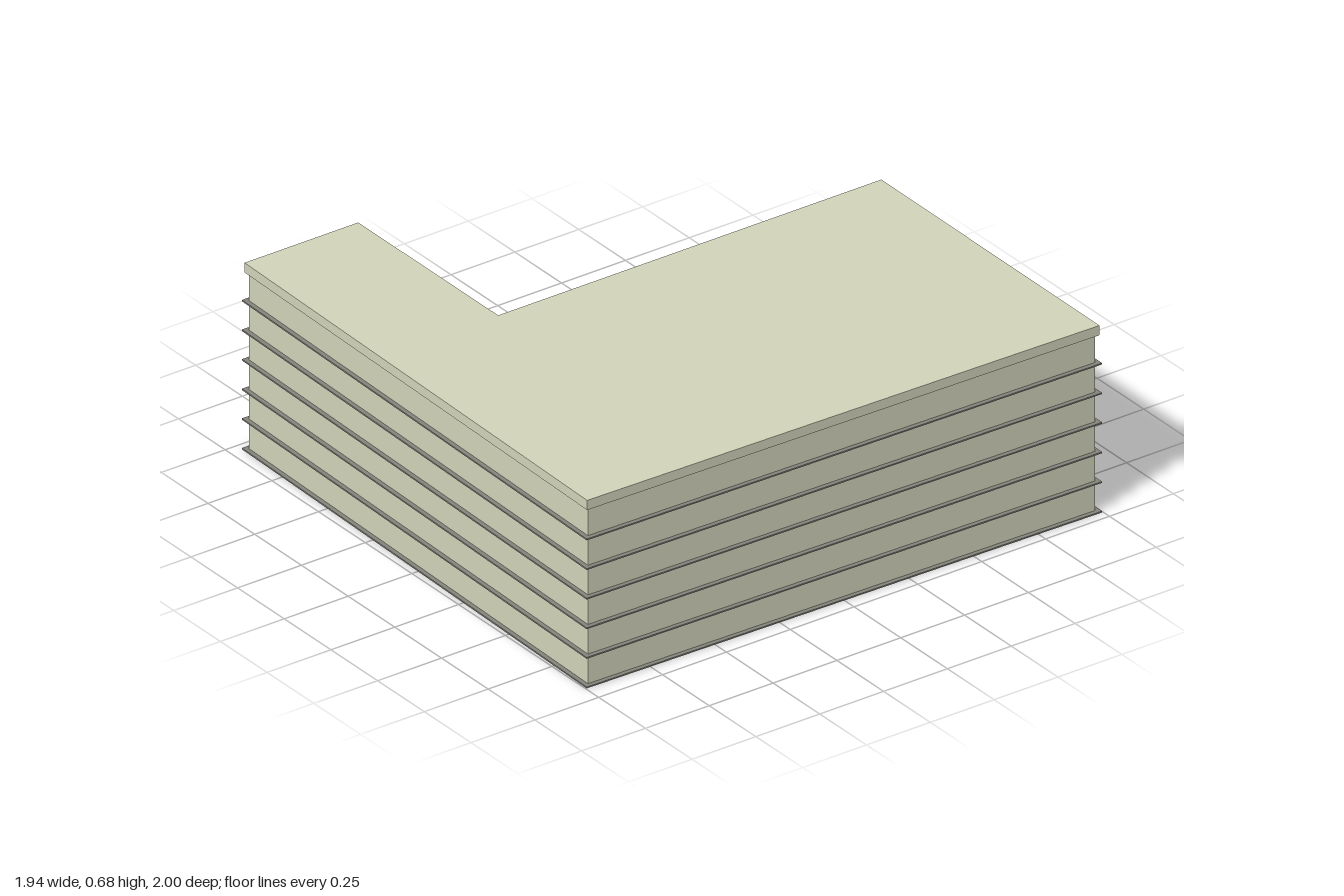
import * as THREE from 'three';

const mat = (color) => new THREE.MeshStandardMaterial({ color });
const wallMat = mat(0xd2d4ba);
const ledgeMat = mat(0x85857c);
const frameMat = mat(0xc4c6b4);
const glassMat = mat(0x0808a8);
const tealMat = mat(0x14c4b4);

const EAVES = 0.64;
const FLOOR = 0.107;
const THICK = 0.008;

// wall footprint as [x, z] corners, outward side is on the (dz, -dx) hand
const PLAN = [
  [-0.205, -0.985], [0.95, -0.98], [0.915, 0.98],
  [-0.955, 0.94], [-0.955, 0.515], [-0.205, 0.515],
].map(([x, z]) => new THREE.Vector2(x, z));

// mitred outward offset of the footprint
function offsetPlan(d) {
  const n = PLAN.length;
  return PLAN.map((p, i) => {
    const e0 = p.clone().sub(PLAN[(i + n - 1) % n]).normalize();
    const e1 = PLAN[(i + 1) % n].clone().sub(p).normalize();
    const n0 = new THREE.Vector2(e0.y, -e0.x);
    const n1 = new THREE.Vector2(e1.y, -e1.x);
    return n0.clone().add(n1).multiplyScalar(d / (1 + n0.dot(n1))).add(p);
  });
}

// horizontal slab or ring whose upper face lies at height top
function slab(name, outer, inner, top, depth, material) {
  const shape = new THREE.Shape(offsetPlan(outer));
  if (inner !== null) shape.holes.push(new THREE.Path(offsetPlan(inner)));
  const geo = new THREE.ExtrudeGeometry(shape, { depth, bevelEnabled: false });
  geo.rotateX(Math.PI / 2);
  const mesh = new THREE.Mesh(geo, material);
  mesh.name = name;
  mesh.position.y = top;
  return mesh;
}

function box(parent, name, w, h, d, x, y, z, material) {
  const mesh = new THREE.Mesh(new THREE.BoxGeometry(w, h, d), material);
  mesh.name = name;
  mesh.position.set(x, y, z);
  parent.add(mesh);
}

// rectangular casing around an opening
function casing(parent, w, h, x, y, bar) {
  for (const s of [-1, 1]) {
    box(parent, 'frameSide', bar, h, 0.012, x + s * (w - bar) / 2, y, -0.003, frameMat);
    box(parent, 'frameRail', w, bar, 0.012, x, y + s * (h - bar) / 2, -0.003, frameMat);
  }
}

function addWindow(wall, o) {
  const g = new THREE.Group();
  g.name = 'window';
  casing(g, o.w, o.h, o.x, o.y, 0.005);
  box(g, 'mullion', 0.005, o.h, 0.01, o.x, o.y, -0.004, frameMat);
  box(g, 'transom', o.w, 0.005, 0.01, o.x, o.y - o.h * 0.2, -0.004, frameMat);
  if (!o.open) {
    box(g, 'glass', o.w, o.h, 0.004, o.x, o.y, -0.004, glassMat);
    box(g, 'innerPanel', o.w + 0.02, o.h + 0.012, 0.004, o.x, o.y, -THICK - 0.002, tealMat);
  }
  wall.add(g);
}

function addDoor(wall, o) {
  const g = new THREE.Group();
  g.name = 'door';
  casing(g, o.w, o.h, o.x, o.y, 0.008);
  box(g, 'doorLeaf', o.w, o.h, 0.006, o.x, o.y, -0.004, tealMat);
  wall.add(g);
}

// three upper storeys of evenly spaced windows
function windowGrid(count, start, step, w) {
  const list = [];
  for (let row = 3; row <= 5; row++)
    for (let i = 0; i < count; i++)
      list.push({ x: start + i * step, y: row * FLOOR + 0.055, w, h: 0.07 });
  return list;
}

// one wall between two corners, with real openings
function buildWall(name, a, b, windows, doors) {
  const wall = new THREE.Group();
  wall.name = name;
  const d = b.clone().sub(a);
  const len = d.length();
  const shape = new THREE.Shape([
    new THREE.Vector2(0, 0), new THREE.Vector2(len, 0),
    new THREE.Vector2(len, EAVES), new THREE.Vector2(0, EAVES),
  ]);
  for (const o of [...windows, ...doors]) {
    const x0 = o.x - o.w / 2, x1 = o.x + o.w / 2, y0 = o.y - o.h / 2, y1 = o.y + o.h / 2;
    shape.holes.push(new THREE.Path([
      new THREE.Vector2(x0, y0), new THREE.Vector2(x0, y1),
      new THREE.Vector2(x1, y1), new THREE.Vector2(x1, y0),
    ]));
  }
  const geo = new THREE.ExtrudeGeometry(shape, { depth: THICK, bevelEnabled: false });
  geo.translate(0, 0, -THICK);
  const panel = new THREE.Mesh(geo, wallMat);
  panel.name = 'wallPanel';
  wall.add(panel);
  windows.forEach((o) => addWindow(wall, o));
  doors.forEach((o) => addDoor(wall, o));
  // local x runs from b to a, local z points outward
  wall.position.set(b.x, 0, b.y);
  wall.rotation.y = Math.atan2(d.y, -d.x);
  return wall;
}

export function createModel() {
  const model = new THREE.Group();
  model.name = 'building';

  const backWindows = windowGrid(5, 0.115, 0.2345, 0.118);
  backWindows[13].open = true; // one unglazed window on the top floor
  const courtWindows = windowGrid(7, 0.085, 0.2165, 0.112);
  const doors = [{ x: 0.385, y: 0.052, w: 0.11, h: 0.09 }];

  const names = ['backWall', 'leftWall', 'frontWall', 'wingEndWall', 'wingBackWall', 'courtWall'];
  const windows = { 0: backWindows, 5: courtWindows };
  names.forEach((name, i) => {
    const next = PLAN[(i + 1) % PLAN.length];
    model.add(buildWall(name, PLAN[i], next, windows[i] || [], i === 4 ? doors : []));
  });

  // roof slab with overhanging edge
  model.add(slab('roof', 0.01, null, 0.675, 0.035, wallMat));

  // thin ledge at every floor line
  for (let i = 0; i <= 5; i++)
    model.add(slab('floorLedge', 0.016, -0.012, i * FLOOR + 0.005, 0.005, ledgeMat));

  return model;
}
